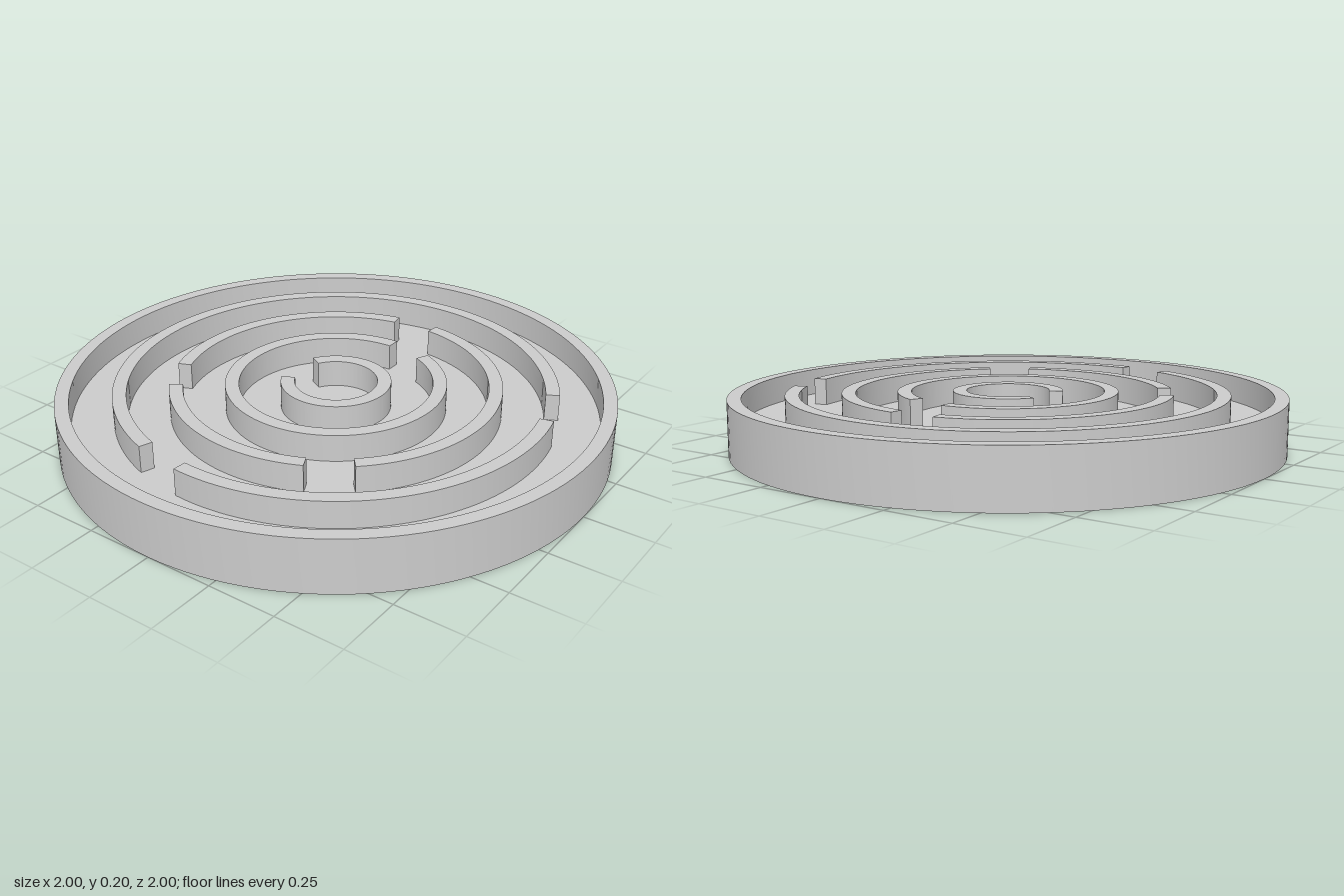
import * as THREE from 'three';
import { toCreasedNormals } from 'three/addons/utils/BufferGeometryUtils.js';

const FLOOR = 0.1, TOP = 0.2, WALL = 0.05;

// Curved wall between two angles (degrees, counter-clockwise seen from above)
function arcWall(outer, from, to) {
  const a = THREE.MathUtils.degToRad(from), b = THREE.MathUtils.degToRad(to);
  const shape = new THREE.Shape();
  shape.absarc(0, 0, outer, a, b, false);
  shape.absarc(0, 0, outer - WALL, b, a, true);
  shape.closePath();
  const geometry = new THREE.ExtrudeGeometry(shape, {
    depth: TOP - FLOOR, bevelEnabled: false, curveSegments: Math.ceil((to - from) / 3),
  });
  geometry.rotateX(-Math.PI / 2).translate(0, FLOOR, 0);
  return toCreasedNormals(geometry, 0.5);
}

export function createModel() {
  const group = new THREE.Group();
  group.name = 'circularMaze';
  const material = new THREE.MeshStandardMaterial({ color: 0xcccccc });
  const add = (name, geometry, parent) => {
    const mesh = new THREE.Mesh(geometry, material);
    mesh.name = name;
    parent.add(mesh);
  };

  // Round tray: solid base with a raised rim
  const profile = [[0, 0], [1, 0], [1, TOP], [1 - WALL, TOP], [1 - WALL, FLOOR], [0, FLOOR]]
    .map(([r, y]) => new THREE.Vector2(r, y));
  add('tray', toCreasedNormals(new THREE.LatheGeometry(profile, 128), 0.5), group);

  // Concentric walls: outer radius and the arcs left between the openings
  const rings = [
    ['innerRing', 0.2, [[-153.4, 151.4]]],
    ['secondRing', 0.4, [[90, 426.5]]],
    ['thirdRing', 0.6, [[-48.1, 84.9], [100.8, 202.9], [218.8, 295.8]]],
    ['outerRing', 0.8, [[27.3, 252], [265.6, 373.7]]],
  ];
  for (const [name, radius, arcs] of rings) {
    const ring = new THREE.Group();
    ring.name = name;
    arcs.forEach(([from, to], i) => add(`${name}Wall${i + 1}`, arcWall(radius, from, to), ring));
    group.add(ring);
  }
  return group;
}
